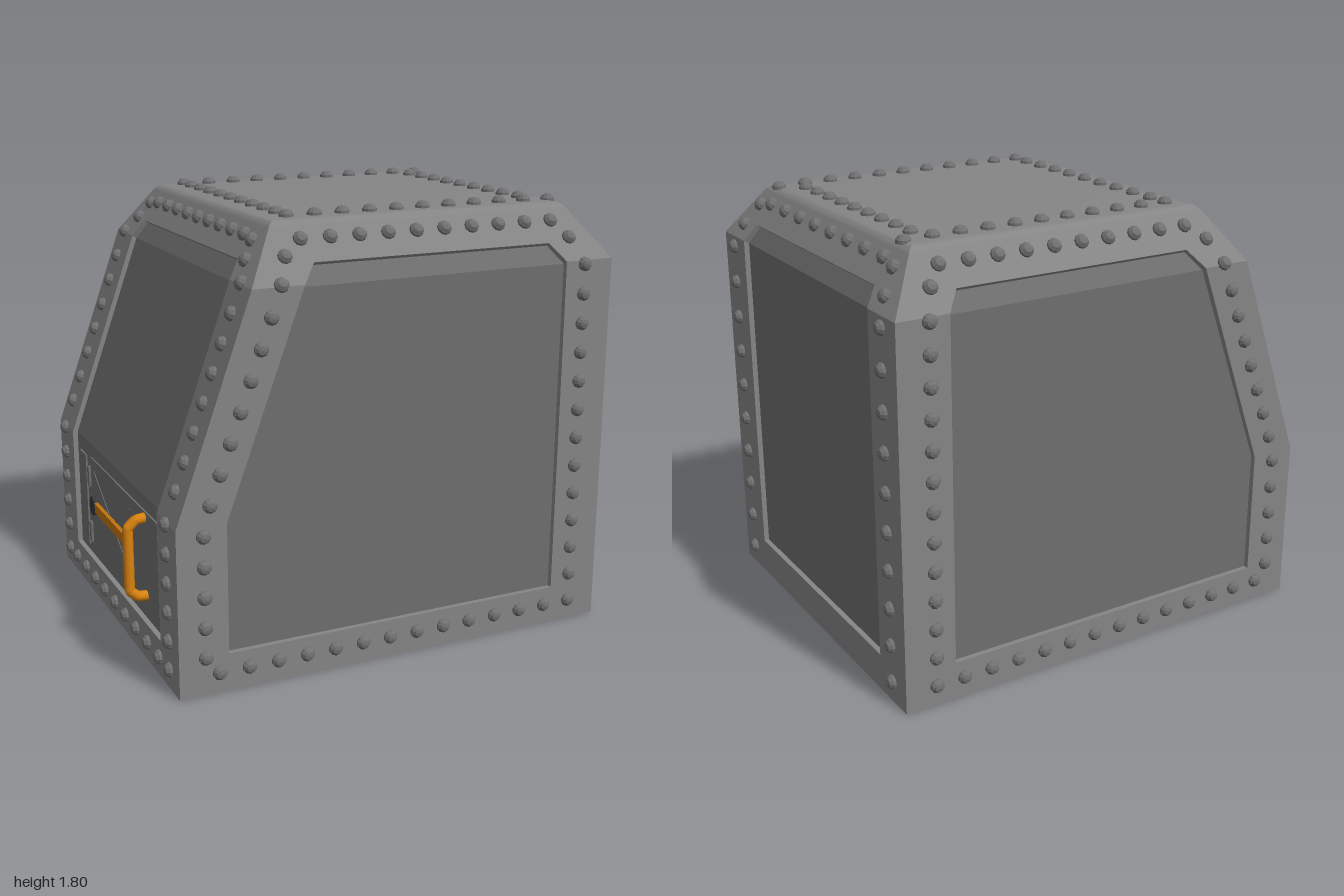
import * as THREE from 'three';
import { mergeGeometries, toCreasedNormals } from 'three/addons/utils/BufferGeometryUtils.js';

const material = (color) => new THREE.MeshStandardMaterial({ color });
const FRAME = material(0x858585), PANEL = material(0x6e6e6e), RIVET = material(0x707070);
const DARK = material(0x383838), ORANGE = material(0xd9820f), LEVER = material(0xc0740e);
const TOP = 1.767, EDGE = 1.745, DEPTH = 0.022;
const V = (x, y, z) => new THREE.Vector3(x, y, z);

// Piecewise linear outline: half depth, left and right edges by height
const along = (pts) => (y) => {
  let i = 0;
  while (i < pts.length - 2 && y > pts[i + 1][0]) i++;
  const [a, b] = [pts[i], pts[i + 1]];
  return a[1] + (b[1] - a[1]) * (y - a[0]) / (b[0] - a[0]);
};
const halfZ = along([[0, 0.79], [1.55, 0.79], [TOP, 0.63]]);
const xMax = along([[0, 0.962], [1.55, 0.962], [TOP, 0.81]]);
const xMin = along([[0, -0.922], [0.68, -0.922], [1.55, -0.61], [TOP, -0.465]]);

// Each side maps (s across, y up, d inward) to space; flip marks mirrored winding
const wide = [[-0.72, 0.745], [-0.72, 0.745], [-0.4, 0.745], [-0.34, 0.69]];
const narrow = [[-0.58, 0.58], [-0.58, 0.58], [-0.58, 0.58], [-0.545, 0.545]];
const sides = {
  front: { at: (s, y, d = 0) => V(s, y, halfZ(y) - d), flip: false, lo: xMin, hi: xMax, hole: wide },
  back: { at: (s, y, d = 0) => V(s, y, d - halfZ(y)), flip: true, lo: xMin, hi: xMax, hole: wide },
  left: { at: (s, y, d = 0) => V(xMax(y) - d, y, s), flip: true, lo: y => -halfZ(y), hi: halfZ, hole: narrow },
  right: { at: (s, y, d = 0) => V(xMin(y) + d, y, s), flip: false, lo: y => -halfZ(y), hi: halfZ, hole: narrow },
};
const holeY = [0.155, 0.68, 1.55, 1.62];

function quadGeometry(quads) {
  const pos = [];
  for (const [a, b, c, d] of quads)
    for (const p of [a, b, c, a, c, d]) pos.push(p.x, p.y, p.z);
  const g = new THREE.BufferGeometry();
  g.setAttribute('position', new THREE.Float32BufferAttribute(pos, 3));
  g.computeVertexNormals();
  return g;
}

// Frame face with an opening, its reveal, and the recessed panel behind it
function buildSide({ at, flip, lo, hi, hole }) {
  const frame = [], panel = [];
  const add = (list, ...q) => list.push(flip ? q.reverse() : q);
  const band = (y0, y1) => add(frame, at(lo(y0), y0), at(hi(y0), y0), at(hi(y1), y1), at(lo(y1), y1));
  const inner = (s, y) => at(s, y > 1.5 ? y - 0.012 : y, DEPTH);
  band(0, holeY[0]);
  band(holeY[3], EDGE);
  for (let i = 0; i < 3; i++) {
    const y0 = holeY[i], y1 = holeY[i + 1], [a0, b0] = hole[i], [a1, b1] = hole[i + 1];
    add(frame, at(lo(y0), y0), at(a0, y0), at(a1, y1), at(lo(y1), y1));
    add(frame, at(b0, y0), at(hi(y0), y0), at(hi(y1), y1), at(b1, y1));
    add(panel, inner(a0, y0), inner(b0, y0), inner(b1, y1), inner(a1, y1));
  }
  const loop = [...holeY.map((y, i) => [hole[i][1], y]), ...holeY.map((y, i) => [hole[i][0], y]).reverse()];
  loop.forEach((p, i) => {
    const q = loop[(i + 1) % loop.length];
    add(frame, at(...p), at(...q), inner(...q), inner(...p));
  });
  return { frame, panel };
}

const corners = (y, inset = 0) => [[xMin(y) + inset, 1], [xMax(y) - inset, 1], [xMax(y) - inset, -1], [xMin(y) + inset, -1]]
  .map(([x, side]) => V(x, y, side * (halfZ(y) - inset)));

// Flat roof with a small rounded edge running into the chamfers
function roofGeometry() {
  const steps = 5, from = corners(EDGE), mid = corners(TOP), to = corners(TOP, 0.03);
  const rings = Array.from({ length: steps + 1 }, (_, k) =>
    from.map((p, i) => new THREE.QuadraticBezierCurve3(p, mid[i], to[i]).getPoint(k / steps)));
  const quads = [rings[steps]];
  for (let k = 0; k < steps; k++)
    for (let i = 0; i < 4; i++) {
      const j = (i + 1) % 4;
      quads.push([rings[k][i], rings[k][j], rings[k + 1][j], rings[k + 1][i]]);
    }
  return toCreasedNormals(quadGeometry(quads), 0.4);
}

// n points from a to b, both ends included
const row = (n, a, b) => Array.from({ length: n }, (_, i) => {
  const t = i / (n - 1);
  return [a[0] + (b[0] - a[0]) * t, a[1] + (b[1] - a[1]) * t];
});

// Rivet head with steep faceted flank and a low cap
const rivetShape = toCreasedNormals(new THREE.LatheGeometry(
  [[0.029, -0.004], [0.029, 0.01], [0.018, 0.024], [0, 0.029]].map(p => new THREE.Vector2(...p)), 10), 0.3);

function rivet(p, normal) {
  const q = new THREE.Quaternion().setFromUnitVectors(V(0, 1, 0), normal);
  return rivetShape.clone().applyQuaternion(q).translate(p.x, p.y, p.z);
}

function sideRivets({ at, flip }, points) {
  return mergeGeometries(points.map(([s, y]) => {
    const p = at(s, y), e = 0.001;
    const n = at(s + e, y).sub(p).cross(at(s, y + e).sub(p)).normalize();
    return rivet(p, flip ? n.negate() : n);
  }));
}

export function createModel() {
  const root = new THREE.Group();
  const add = (name, geo, mat, parent = root) => {
    const m = new THREE.Mesh(geo, mat);
    m.name = name;
    parent.add(m);
    return m;
  };

  // Shell: four framed sides, roof and floor
  const frame = [];
  for (const [name, side] of Object.entries(sides)) {
    const part = buildSide(side);
    frame.push(...part.frame);
    add(name + 'Panel', quadGeometry(part.panel), PANEL);
  }
  add('frame', quadGeometry(frame), FRAME);
  add('roof', roofGeometry(), FRAME);
  add('floor', quadGeometry([corners(0).reverse()]), FRAME);

  // Rivet rows on every side
  const wideRivets = [
    ...row(14, [-0.76, 0.085], [0.83, 0.085]), ...row(12, [0.83, 0.206], [0.83, 1.535]),
    ...row(10, [-0.37, 1.7], [0.73, 1.7]), [0.79, 1.635], [-0.45, 1.645],
    ...row(8, [-0.493, 1.555], [-0.787, 0.762]), ...row(5, [-0.815, 0.645], [-0.815, 0.157]),
  ];
  const mirrored = (pts) => pts.flatMap(([s, y]) => [[s, y], [-s, y]]);
  const leftRivets = [
    ...mirrored([...row(10, [0.685, 0.09], [0.685, 1.507]), [0.65, 1.605], [0.605, 1.69]]),
    ...row(8, [-0.51, 1.705], [0.51, 1.705]),
  ];
  const rightRivets = [
    ...mirrored([...row(6, [0.69, 0.085], [0.69, 0.675]), ...row(8, [0.69, 0.795], [0.69, 1.555]), [0.62, 1.625], [0.575, 1.69]]),
    ...row(9, [-0.57, 0.085], [0.57, 0.085]), ...row(9, [-0.49, 1.7], [0.49, 1.7]),
  ];
  add('frontRivets', sideRivets(sides.front, wideRivets), RIVET);
  add('backRivets', sideRivets(sides.back, wideRivets), RIVET);
  add('leftRivets', sideRivets(sides.left, leftRivets), RIVET);
  add('rightRivets', sideRivets(sides.right, rightRivets), RIVET);
  const roofPoints = [
    ...mirrored(row(11, [0.555, -0.37], [0.555, 0.8])).map(([z, x]) => [x, z]),
    ...[-0.37, 0.72].flatMap(x => row(9, [x, -0.46], [x, 0.46])),
  ];
  // Roof rivets near the rounded edge sit slightly lower
  add('roofRivets', mergeGeometries(roofPoints.map(([x, z]) => rivet(V(x, x > 0.78 ? TOP - 0.004 : TOP, z), V(0, 1, 0)))), RIVET);

  // Hatch details in the lower part of the right panel
  const hatch = new THREE.Group();
  hatch.name = 'hatch';
  root.add(hatch);
  const wall = xMin(0) + DEPTH;
  const plate = (name, z, y, w, h, t, angle = 0) => {
    const m = add(name, new THREE.BoxGeometry(t, h, w), PANEL, hatch);
    m.position.set(wall - t / 2, y, z);
    m.rotation.x = angle;
  };
  plate('sidePlate', -0.485, 0.4, 0.1, 0.42, 0.008);
  plate('door', 0.08, 0.4, 0.9, 0.44, 0.006);
  for (const y of [0.27, 0.53]) plate('hinge', -0.38, y, 0.025, 0.09, 0.016);
  for (const s of [-1, 1]) plate('brace', -0.06, 0.41, 0.6, 0.008, 0.009, s * 0.55);

  // Lever on a round pivot
  const pivot = add('leverPivot', new THREE.CylinderGeometry(0.042, 0.042, 0.024, 16).rotateZ(Math.PI / 2), DARK, hatch);
  pivot.position.set(wall - 0.012, 0.415, -0.31);
  const lever = add('lever', new THREE.BoxGeometry(0.02, 0.042, 0.5), LEVER, hatch);
  lever.position.set(wall - 0.013, 0.418, -0.04);

  // Grab handle: straight bar with bevelled corners
  const path = new THREE.CurvePath();
  const pts = [[-0.89, 0.595], [-0.945, 0.59], [-0.977, 0.56], [-0.977, 0.295], [-0.945, 0.268], [-0.89, 0.263]]
    .map(([x, y]) => V(x, y, 0.38));
  for (let i = 1; i < pts.length; i++) path.add(new THREE.LineCurve3(pts[i - 1], pts[i]));
  add('grabHandle', new THREE.TubeGeometry(path, 48, 0.021, 10), ORANGE);

  return root;
}
